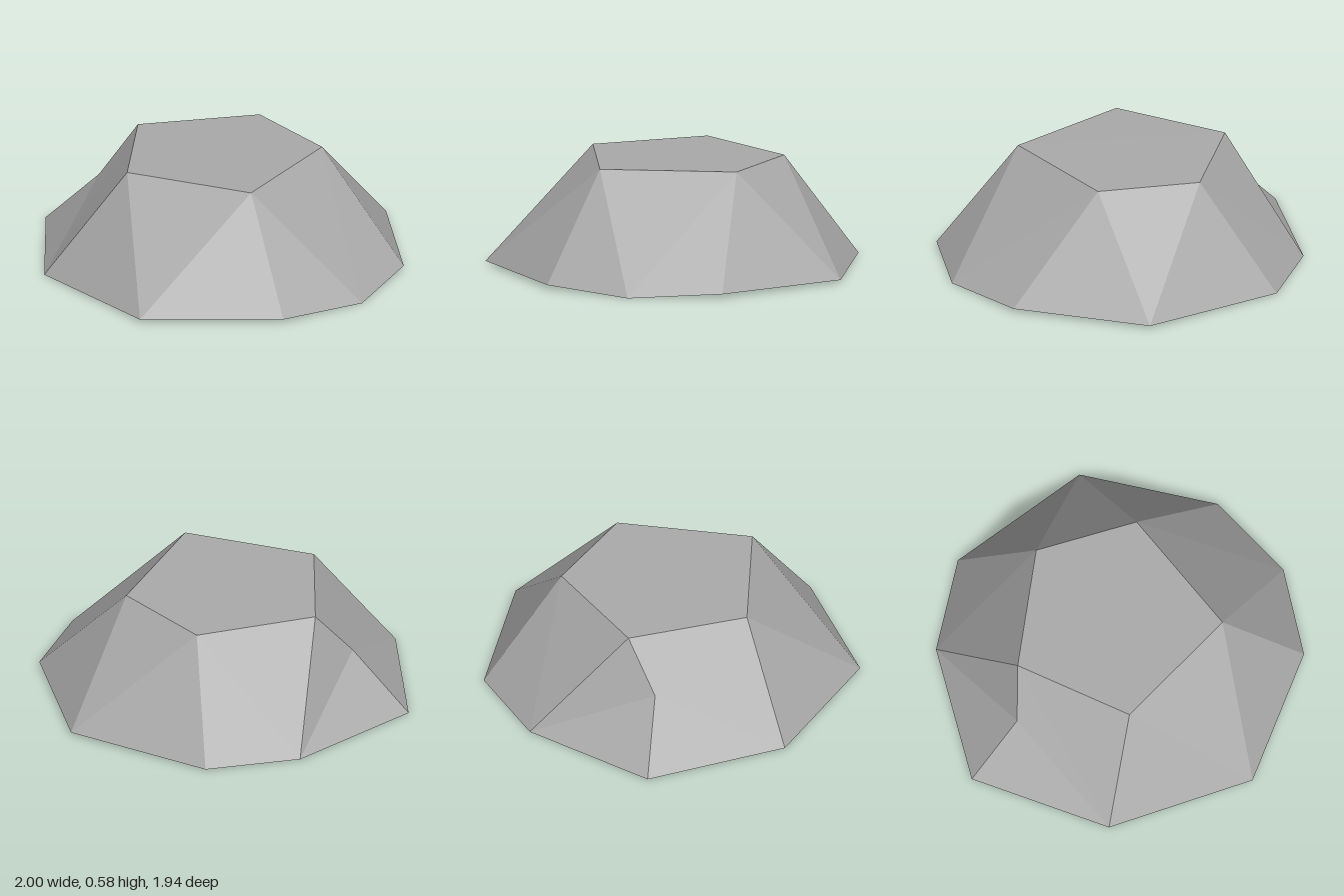
import * as THREE from 'three';

// Faceted boulder: an uneven foot ring, a flat five-sided crown and one chipped corner.
const foot = [
  [1, 0, 0], [0.87, 0.022, 0.475], [0.3, 0.016, 0.97], [-0.49, 0.006, 0.845], [-1, 0.002, 0.265],
  [-0.825, 0.002, -0.465], [-0.49, 0.006, -0.85], [0.3, 0.016, -0.97], [0.865, 0.022, -0.48],
];
const crown = [
  [0.48, 0.578, 0.295], [-0.195, 0.573, 0.52], [-0.585, 0.57, 0],
  [-0.195, 0.57, -0.525], [0.345, 0.575, -0.415],
];
const chip = [-0.69, 0.315, 0.19];

// Triangles from a tip to each successive pair of points along a path
function fan(tip, path) {
  const tris = [];
  for (let i = 0; i + 1 < path.length; i++) tris.push(tip, path[i], path[i + 1]);
  return tris;
}

function facetMesh(name, points, material) {
  const geometry = new THREE.BufferGeometry();
  geometry.setAttribute('position', new THREE.Float32BufferAttribute(points.flat(), 3));
  geometry.computeVertexNormals();
  const mesh = new THREE.Mesh(geometry, material);
  mesh.name = name;
  return mesh;
}

export function createModel() {
  const stone = new THREE.MeshStandardMaterial({ color: 0xaaaaaa });
  stone.name = 'grey stone';
  const group = new THREE.Group();
  group.name = 'boulder';

  // Flanks: each crown corner fans down to its stretch of the outline below
  const below = [
    [foot[0], foot[1], foot[2]],
    [foot[2], foot[3]],
    [foot[3], chip, foot[5]],
    [foot[5], foot[6], foot[7]],
    [foot[7], foot[8], foot[0]],
  ];
  const flanks = [];
  crown.forEach((corner, i) => {
    const next = (i + 1) % crown.length;
    flanks.push(...fan(corner, [...below[i]].reverse()));
    flanks.push(corner, crown[next], below[next][0]);
  });
  group.add(facetMesh('flanks', flanks, stone));

  // Chipped corner running out to the foot
  group.add(facetMesh('chippedCorner', fan(chip, [foot[5], foot[4], foot[3]]), stone));

  // Flat crown and underside
  group.add(facetMesh('crown', fan(crown[0], crown.slice(1).reverse()), stone));
  group.add(facetMesh('underside', fan(foot[1], [...foot.slice(2), foot[0]]), stone));

  return group;
}
